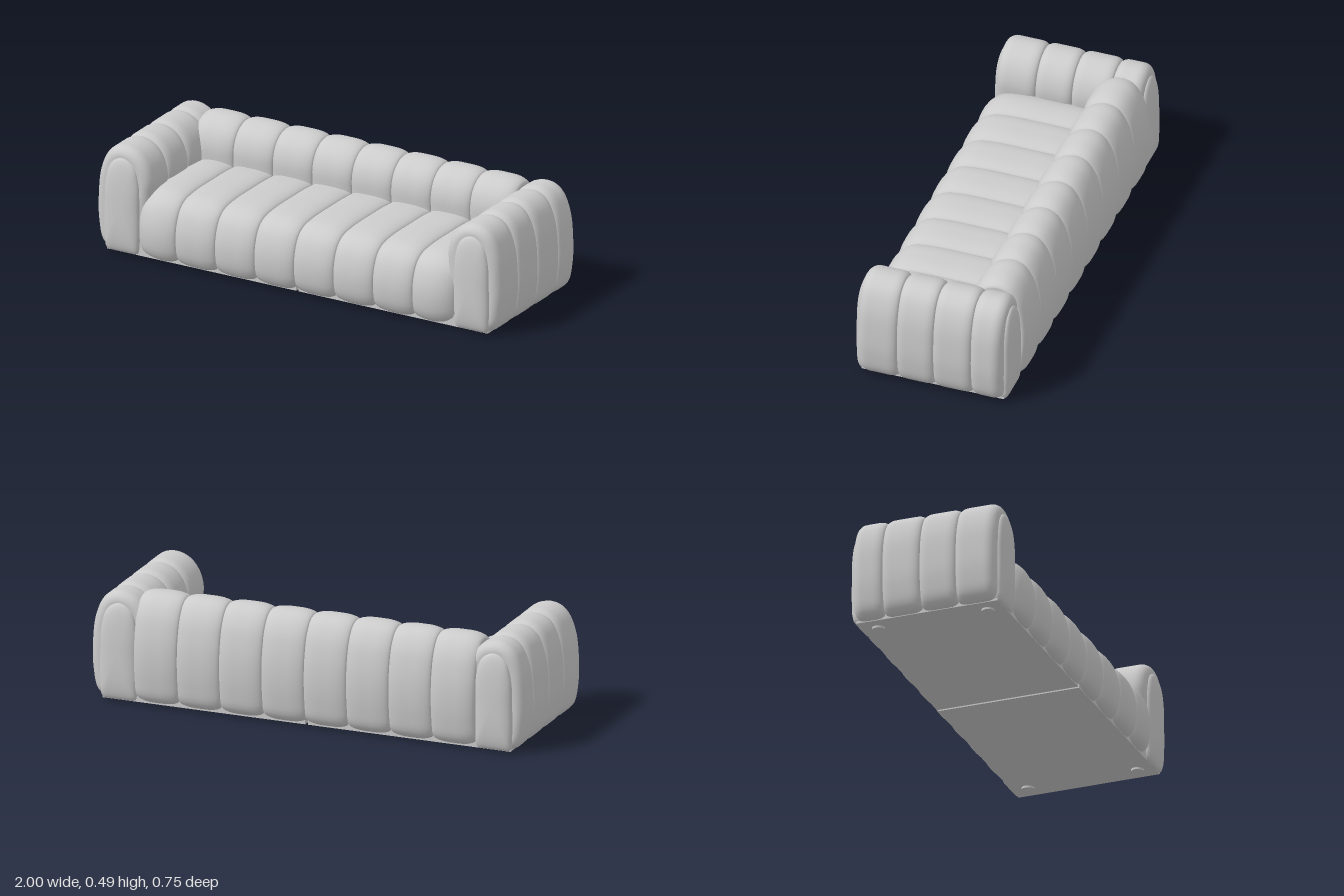
import * as THREE from 'three';

const material = new THREE.MeshStandardMaterial({ color: 0xcccccc, roughness: 0.8, side: THREE.DoubleSide });
const RING = 64;

// Smooth closed cross-section through a few [u, y] points, with outward normals, counter-clockwise
function section(points) {
  const curve = new THREE.CatmullRomCurve3(points.map(([u, y]) => new THREE.Vector3(u, y, 0)), true, 'centripetal');
  let ring = curve.getSpacedPoints(RING).slice(0, RING).map(p => new THREE.Vector2(p.x, Math.max(p.y, 0.01)));
  if (THREE.ShapeUtils.area(ring) < 0) ring = ring.reverse();
  const normals = ring.map((p, i) => {
    const d = ring[(i + 1) % RING].clone().sub(ring[(i + RING - 1) % RING]).normalize();
    return new THREE.Vector2(d.y, -d.x);
  });
  const centre = ring.reduce((c, p) => c.add(p), new THREE.Vector2()).divideScalar(RING);
  return { ring, normals, centre };
}

// Skin a section along x or z; each station is { at, inset, scale }
function loft(name, sec, axis, stations) {
  const pos = [], index = [];
  for (const { at, inset = 0, scale = 1 } of stations) {
    sec.ring.forEach((p, i) => {
      const u = sec.centre.x + (p.x - sec.normals[i].x * inset - sec.centre.x) * scale;
      const y = sec.centre.y + (p.y - sec.normals[i].y * inset - sec.centre.y) * scale;
      if (axis === 'x') pos.push(at, y, u);
      else pos.push(u, y, at);
    });
  }
  const forward = stations[stations.length - 1].at > stations[0].at;
  const flip = (axis === 'x') === forward;
  for (let s = 0; s < stations.length - 1; s++) {
    for (let i = 0; i < RING; i++) {
      const j = (i + 1) % RING, a = s * RING + i, b = s * RING + j, c = b + RING, d = a + RING;
      if (flip) index.push(a, c, b, a, d, c);
      else index.push(a, b, c, a, c, d);
    }
  }
  const geometry = new THREE.BufferGeometry();
  geometry.setAttribute('position', new THREE.Float32BufferAttribute(pos, 3));
  geometry.setIndex(index);
  geometry.computeVertexNormals();
  const mesh = new THREE.Mesh(geometry, material);
  mesh.name = name;
  return mesh;
}

// One padded channel between two seams; each end is { width, depth } of the rounding
function channel(name, sec, axis, from, to, startEnd, stopEnd) {
  const round = (dist, { width, depth }) => {
    const k = Math.max(0, 1 - dist / width);
    return depth * (1 - Math.sqrt(1 - k * k));
  };
  const stations = [];
  const n = 20;
  for (let i = 0; i <= n; i++) {
    const at = from + (to - from) * (1 - Math.cos(Math.PI * i / n)) / 2;
    stations.push({ at, inset: round(at - from, startEnd) + round(to - at, stopEnd) });
  }
  const first = stations[0], last = stations[n];
  return loft(name, sec, axis, [{ ...first, scale: 0 }, ...stations, { ...last, scale: 0 }]);
}

// A row of channels between listed seams
function channelRow(name, sec, axis, seams, seam, firstEnd, lastEnd) {
  const group = new THREE.Group();
  group.name = name;
  for (let i = 0; i < seams.length - 1; i++) {
    group.add(channel(name + 'Channel', sec, axis, seams[i], seams[i + 1],
      i === 0 ? firstEnd : seam, i === seams.length - 2 ? lastEnd : seam));
  }
  return group;
}

export function createModel() {
  const sofa = new THREE.Group();
  sofa.name = 'sofa';
  const seams = [-0.785, -0.585, -0.39, -0.195, 0, 0.195, 0.39, 0.585, 0.785];

  // Backrest, profile in z and y
  const backSection = section([
    [-0.315, 0.012], [-0.35, 0.04], [-0.368, 0.12], [-0.375, 0.23], [-0.366, 0.33], [-0.34, 0.42],
    [-0.295, 0.478], [-0.24, 0.495], [-0.18, 0.48], [-0.135, 0.44], [-0.112, 0.38], [-0.112, 0.3],
    [-0.12, 0.15], [-0.14, 0.012],
  ]);
  const backSeam = { width: 0.075, depth: 0.022 };
  const backEnd = { width: 0.08, depth: 0.03 };
  sofa.add(channelRow('backrest', backSection, 'x', seams, backSeam, backEnd, backEnd));

  // Seat, profile in z and y
  const seatSection = section([
    [0.325, 0.012], [0.358, 0.04], [0.375, 0.13], [0.364, 0.21], [0.335, 0.27], [0.285, 0.306],
    [0.2, 0.32], [0.05, 0.322], [-0.1, 0.318], [-0.19, 0.3], [-0.2, 0.15], [-0.19, 0.012],
  ]);
  const seatSeam = { width: 0.08, depth: 0.026 };
  const seatEnd = { width: 0.12, depth: 0.07 };
  sofa.add(channelRow('seat', seatSection, 'x', seams, seatSeam, seatEnd, seatEnd));

  for (const side of [1, -1]) {
    const label = side > 0 ? 'left' : 'right';
    const mirrored = points => section(points.map(([x, y]) => [x * side, y]));

    // Arm, profile in x and y
    const armSection = mirrored([
      [0.94, 0.012], [0.975, 0.04], [0.995, 0.13], [0.998, 0.23], [0.985, 0.36], [0.95, 0.445],
      [0.91, 0.478], [0.86, 0.487], [0.8, 0.468], [0.755, 0.42], [0.732, 0.35], [0.735, 0.28],
      [0.75, 0.15], [0.78, 0.012],
    ]);
    const armSeam = { width: 0.04, depth: 0.02 };
    const armEnd = { width: 0.045, depth: 0.042 };
    sofa.add(channelRow(label + 'Arm', armSection, 'z', [-0.325, -0.187, -0.017, 0.147, 0.327], armSeam, armEnd, armEnd));

    // Arched pillow panels on the front and rear of the arm
    const archSection = mirrored([
      [0.935, 0.012], [0.947, 0.06], [0.949, 0.2], [0.942, 0.34], [0.915, 0.415], [0.863, 0.443],
      [0.81, 0.415], [0.783, 0.34], [0.778, 0.2], [0.78, 0.06], [0.79, 0.012],
    ]);
    for (const end of [1, -1]) {
      const stations = [{ at: 0.3 * end }];
      for (let i = 0; i <= 14; i++) {
        const a = (i / 14) * Math.PI / 2;
        const scale = Math.pow(Math.cos(a), 0.8);
        stations.push({ at: end * (0.32 + 0.036 * Math.pow(Math.sin(a), 0.8)), scale: i === 14 ? 0 : scale });
      }
      sofa.add(loft(label + (end > 0 ? 'FrontPanel' : 'RearPanel'), archSection, 'z', stations));

      // Short round foot
      const foot = new THREE.Mesh(new THREE.CylinderGeometry(0.028, 0.028, 0.02, 32), material);
      foot.name = 'foot';
      foot.position.set(0.865 * side, 0.01, 0.25 * end);
      sofa.add(foot);
    }

    // Half of the flat underside, leaving a groove at the middle
    const base = new THREE.Mesh(new THREE.BoxGeometry(0.934, 0.06, 0.645), material);
    base.name = label + 'Base';
    base.position.set(0.473 * side, 0.039, 0);
    sofa.add(base);
  }
  return sofa;
}
